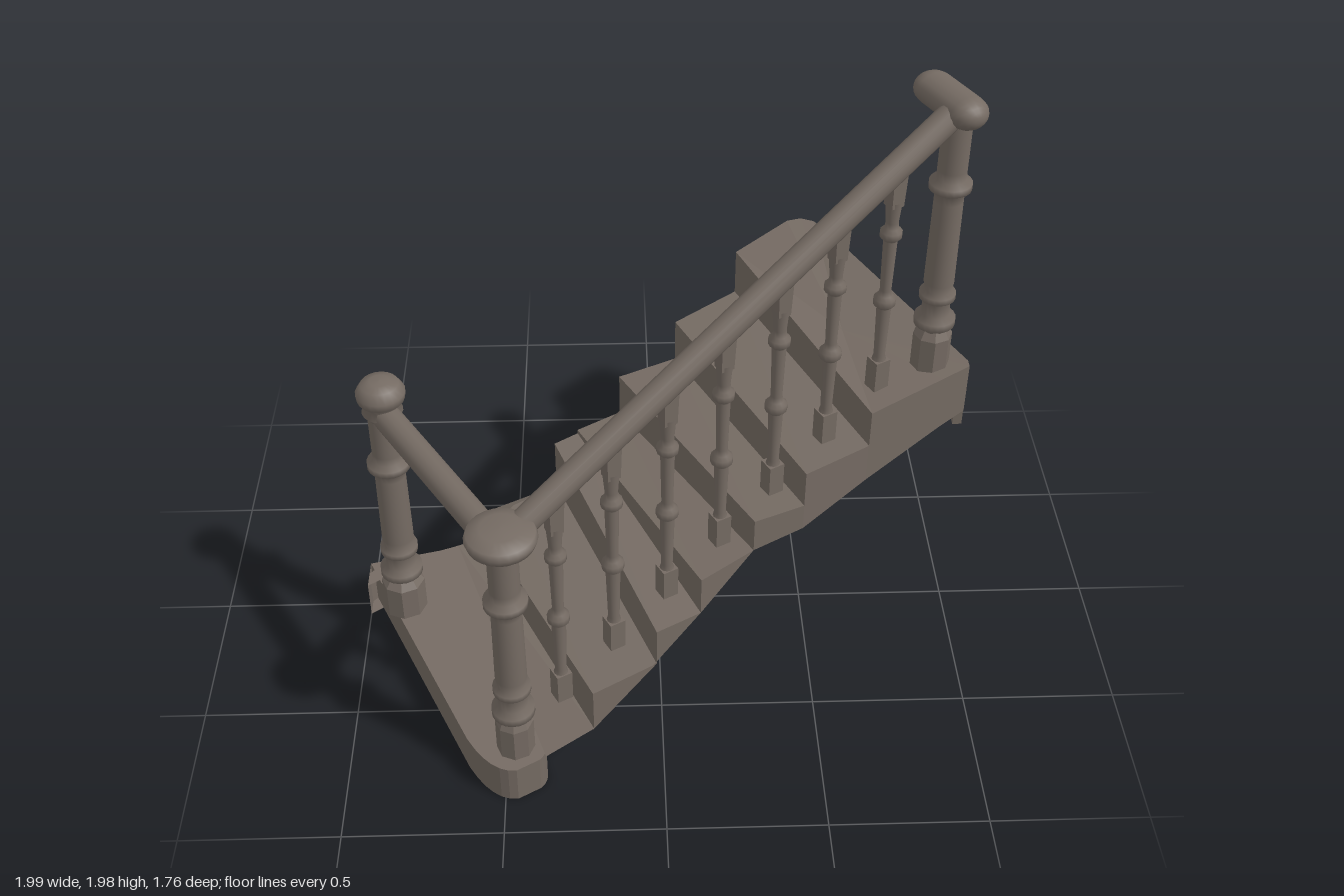
import * as THREE from 'three';

const wood = new THREE.MeshStandardMaterial({ color: 0x756b63, side: THREE.DoubleSide });
wood.name = 'weatheredWood';

export function createModel() {
  const root = new THREE.Group();
  const add = (name, geometry, parent = root) => {
    const m = new THREE.Mesh(geometry, wood);
    m.name = name;
    parent.add(m);
    return m;
  };
  // Flat sheet(s): each polygon is a fan of [x, y, z] corners
  const sheet = (name, ...polys) => {
    const p = [];
    for (const c of polys)
      for (let i = 1; i < c.length - 1; i++) p.push(...c[0], ...c[i], ...c[i + 1]);
    const g = new THREE.BufferGeometry();
    g.setAttribute('position', new THREE.Float32BufferAttribute(p, 3));
    g.computeVertexNormals();
    return add(name, g);
  };

  // Bottom block with rounded corners
  const s = new THREE.Shape();
  s.moveTo(-1, 0.06);
  s.lineTo(-0.62, -0.74);
  s.quadraticCurveTo(-0.54, -0.88, -0.46, -0.87);
  s.lineTo(-0.39, -0.83);
  s.quadraticCurveTo(-0.37, -0.81, -0.37, -0.78);
  s.lineTo(-0.64, 0.17);
  s.quadraticCurveTo(-0.76, 0.11, -0.89, 0.085);
  s.quadraticCurveTo(-0.94, 0.08, -1, 0.01);
  s.lineTo(-1, -0.05);
  const base = new THREE.ExtrudeGeometry(s, { depth: 0.135, bevelEnabled: false, curveSegments: 6 });
  base.rotateX(-Math.PI / 2);
  base.translate(0, 0.01, 0);
  add('bottomStep', base);

  // Riser lines: far and near ends (x, z), tread height and stringer bottom at each end
  const R = [
    { f: [-0.63, -0.15], n: [-0.22, 0.74], fy: 0.28, ny: 0.34, fb: 0.12, nb: 0.18 },
    { f: [-0.35, -0.30], n: [-0.02, 0.62], fy: 0.475, ny: 0.48, fb: 0.27, nb: 0.35 },
    { f: [-0.27, -0.355], n: [0.12, 0.54], fy: 0.49, ny: 0.62, fb: 0.32, nb: 0.48 },
    { f: [-0.12, -0.45], n: [0.29, 0.41], fy: 0.65, ny: 0.74, fb: 0.39, nb: 0.62 },
    { f: [0.08, -0.55], n: [0.45, 0.34], fy: 0.81, ny: 0.87, fb: 0.49, nb: 0.645 },
    { f: [0.30, -0.73], n: [0.66, 0.21], fy: 0.98, ny: 1.0, fb: 0.65, nb: 0.73 },
  ];
  const P = ([x, z], y) => [x, y, z];
  sheet('bottomTread', [[-0.7, 0.148, -0.14], P(R[0].f, 0.148), P(R[0].n, 0.18), [-0.37, 0.148, 0.82]]);
  let fy = 0.13, ny = 0.17;
  R.forEach((r, i) => {
    sheet('riser', [P(r.f, fy), P(r.n, ny), P(r.n, r.ny), P(r.f, r.fy)]);
    const q = R[i + 1];
    if (q) {
      // The first tread has a broken far corner
      const start = i ? [P(r.f, r.fy)] : [[-0.5, r.fy, -0.2], [-0.59, r.fy, -0.065]];
      sheet('tread', [P(r.n, r.ny), P(q.n, r.ny), P(q.f, r.fy), ...start]);
      sheet('farStringer', [P(r.f, r.fb), P(r.f, r.fy), P(q.f, r.fy), P(q.f, q.fb)]);
      sheet('nearStringer', [P(r.n, r.nb), P(r.n, r.ny), P(q.n, r.ny), P(q.n, q.nb)]);
    }
    fy = r.fy;
    ny = r.ny;
  });

  // Landing: rim points as [x, z, top, bottom]
  const rim = [
    [0.30, -0.73, 0.98, 0.65], [0.49, -0.865, 1.02, 0.79], [0.54, -0.88, 1.02, 0.8],
    [0.585, -0.86, 1.02, 0.8], [0.62, -0.8, 1.025, 0.8], [0.99, 0.0, 1.04, 0.83],
    [0.99, 0.03, 1.04, 0.86], [0.9, 0.08, 1.03, 0.83], [0.66, 0.21, 1.0, 0.73],
  ];
  sheet('landingTop', [[0.62, 0.985, -0.25], ...rim.map(([x, z, t]) => [x, t, z]), [0.30, 0.98, -0.73]]);
  sheet('landingSides', ...rim.slice(1).map(([x, z, t, b], i) => {
    const [X, Z, T, B] = rim[i];
    return [[X, B, Z], [X, T, Z], [x, t, z], [x, b, z]];
  }));
  add('landingPeg', new THREE.BoxGeometry(0.03, 0.09, 0.05)).position.set(0.975, 0.845, 0.0);

  // Turned parts
  const lathe = (pts, sides = 20) =>
    new THREE.LatheGeometry(pts.map(([r, y]) => new THREE.Vector2(r, y)), sides);
  const ring = (r, y, h, R2) => [[r, y - h], [R2, y - h * 0.5], [R2, y + h * 0.5], [r, y + h]];
  const post = (name, x, y, z, h, r, foot) => {
    const g = new THREE.Group();
    g.name = name;
    g.position.set(x, y, z);
    root.add(g);
    add('postFoot', lathe([[0, 0], [foot, 0], [foot, 0.12], [r, 0.15]], 8).toNonIndexed(), g)
      .geometry.computeVertexNormals();
    add('postShaft', lathe([
      [r, 0.12], ...ring(r, 0.175, 0.025, r + 0.02), ...ring(r * 0.95, 0.27, 0.02, r + 0.012),
      [r * 1.05, 0.32], [r, h * 0.68], ...ring(r, h * 0.74, 0.022, r + 0.02), [r, h * 0.8], [r, h],
    ]), g);
    return g;
  };
  const postA = post('startPost', -0.86, 0.145, 0.14, 0.86, 0.05, 0.072);
  add('ballCap', lathe([[0.05, 0.83], [0.065, 0.85], [0.05, 0.87], [0.075, 0.9], [0.078, 0.925],
    [0.06, 0.955], [0.03, 0.965], [0, 0.967]]), postA);
  const postB = post('cornerPost', -0.465, 0.145, 0.77, 0.86, 0.047, 0.06);
  add('discCap', lathe([[0.045, 0.83], [0.075, 0.845], [0.1, 0.87], [0.107, 0.89], [0.1, 0.91],
    [0.06, 0.925], [0, 0.927]], 24), postB);
  post('topPost', 0.87, 1.02, -0.02, 0.9, 0.045, 0.062);

  // Long cap on the top post
  const cap = new THREE.CapsuleGeometry(0.062, 0.165, 6, 16);
  cap.rotateX(Math.PI / 2);
  cap.scale(1, 0.8, 1);
  const capMesh = add('topCap', cap);
  capMesh.position.set(0.85, 1.945, -0.06);
  capMesh.rotation.set(0, 0.45, 0);

  // Handrails
  const rail = (name, a, b, r) => {
    const A = new THREE.Vector3(...a), B = new THREE.Vector3(...b);
    const m = add(name, new THREE.CylinderGeometry(r, r, A.distanceTo(B), 14));
    m.position.copy(A).lerp(B, 0.5);
    m.quaternion.setFromUnitVectors(new THREE.Vector3(0, 1, 0), B.sub(A).normalize());
  };
  rail('mainHandrail', [-0.43, 1.01, 0.72], [0.85, 1.935, 0.0], 0.042);
  rail('shortHandrail', [-0.86, 0.985, 0.14], [-0.465, 0.985, 0.77], 0.045);

  // Balusters climbing along the main handrail
  for (let i = 0; i < 7; i++) {
    const t = i / 6, x = -0.32 + 1.01 * t, y = 0.23 + 0.77 * t;
    const h = 1.0 + 0.723 * (x + 0.43) + 0.0 - y;
    const g = new THREE.Group();
    g.name = 'baluster';
    g.position.set(x, y, 0.64 - 0.57 * t);
    root.add(g);
    const foot = add('balusterFoot', new THREE.BoxGeometry(0.052, 0.11, 0.052), g);
    foot.position.y = 0.055;
    foot.rotation.y = 0.5;
    add('balusterShaft', lathe([
      [0.026, 0.1], [0.018, 0.125], [0.023, h * 0.38], ...ring(0.023, h * 0.41, 0.022, 0.035),
      [0.018, h * 0.46], [0.022, h * 0.68], ...ring(0.022, h * 0.71, 0.02, 0.034),
      [0.02, h * 0.76], [0.026, h * 0.85],
    ], 12), g);
    const head = add('balusterHead', new THREE.CylinderGeometry(0.036, 0.03, h * 0.17, 4).toNonIndexed(), g);
    head.geometry.computeVertexNormals();
    head.position.y = h * 0.915;
    head.rotation.y = 0.5 + Math.PI / 4;
  }
  return root;
}
